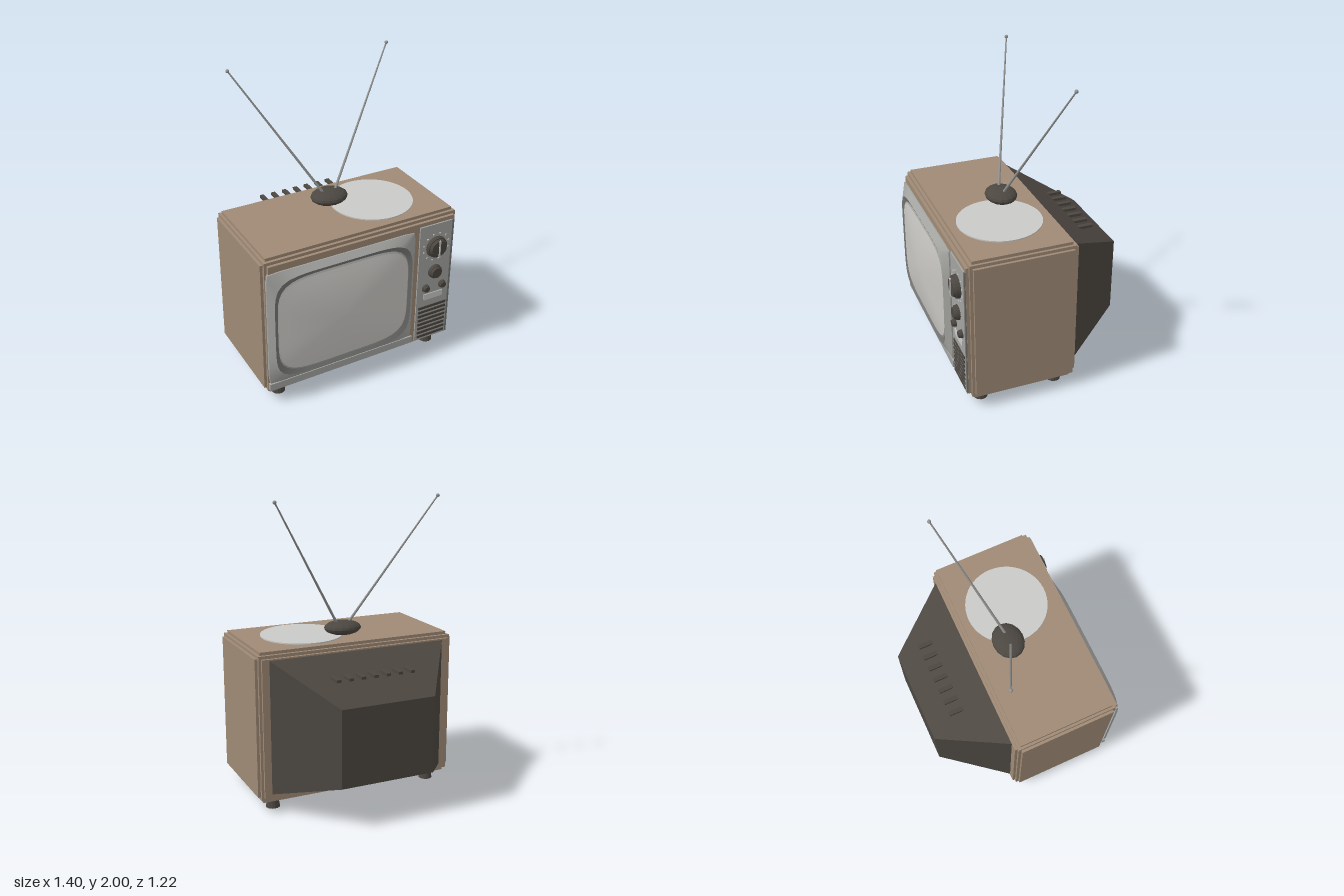
import * as THREE from 'three';
import { toCreasedNormals } from 'three/addons/utils/BufferGeometryUtils.js';

const mat = (name, color, flatShading = false) => {
  const m = new THREE.MeshStandardMaterial({ color });
  m.name = name;
  m.flatShading = flatShading;
  return m;
};

export function createModel() {
  const wood = mat('wood', 0x9f8a75);
  const dark = mat('dark plastic', 0x4c4741, true);
  const silver = mat('silver trim', 0xa3a3a0);
  const grey = mat('grey surround', 0x767674);
  const glassMat = mat('screen glass', 0xc8c6c2);
  const pale = mat('pale plate', 0xcacac8);
  const metal = mat('antenna metal', 0x949492);

  const root = new THREE.Group();
  const add = (name, geo, material, x = 0, y = 0, z = 0, parent = root) => {
    const m = new THREE.Mesh(geo, material);
    m.name = name;
    m.position.set(x, y, z);
    parent.add(m);
    return m;
  };
  // Box given by its low and high corners
  const block = (name, material, x0, x1, y0, y1, z0, z1, parent = root) =>
    add(name, new THREE.BoxGeometry(x1 - x0, y1 - y0, z1 - z0), material,
      (x0 + x1) / 2, (y0 + y1) / 2, (z0 + z1) / 2, parent);

  // Wooden cabinet: crossed boxes give the stepped edges
  const cabinet = new THREE.Group();
  cabinet.name = 'cabinet';
  root.add(cabinet);
  block('cabinetSides', wood, -0.70, 0.70, 0.11, 1.03, -0.15, 0.50, cabinet);
  block('cabinetTopBottom', wood, -0.665, 0.665, 0.066, 1.07, -0.15, 0.50, cabinet);
  block('cabinetFrontBack', wood, -0.665, 0.665, 0.11, 1.03, -0.188, 0.54, cabinet);
  block('cabinetEdgeStep', wood, -0.682, 0.682, 0.09, 1.05, -0.17, 0.52, cabinet);

  // Tapered back housing
  const back = new THREE.BoxGeometry(2, 1, 0.435);
  const bp = back.attributes.position;
  for (let i = 0; i < bp.count; i++) {
    const rear = bp.getZ(i) < 0, up = bp.getY(i) > 0;
    bp.setX(i, Math.sign(bp.getX(i)) * (rear ? 0.32 : 0.622));
    bp.setY(i, rear ? (up ? 0.79 : 0.28) : (up ? 1.025 : 0.13));
    bp.setZ(i, rear ? -0.613 : -0.18);
  }
  back.computeVertexNormals();
  add('backHousing', back, dark);
  for (let i = 0; i < 7; i++)
    add('ventFin', new THREE.BoxGeometry(0.03, 0.018, 0.097), dark, -0.241 + i * 0.0855, 0.921, -0.417);

  // Feet
  for (const x of [-0.575, 0.575])
    for (const z of [-0.078, 0.433])
      add('foot', new THREE.CylinderGeometry(0.036, 0.047, 0.07, 14), dark, x, 0.035, z);

  // Loft through rounded-square rings: [half width, half height, z, squareness]
  const loft = (rings, crease) => {
    const N = 72, pos = [], idx = [];
    rings.forEach(([w, h, z, n], r) => {
      for (let j = 0; j < N; j++) {
        const a = (j / N) * Math.PI * 2, c = Math.cos(a), s = Math.sin(a);
        const k = Math.pow(Math.abs(c) ** n + Math.abs(s) ** n, -1 / n);
        pos.push(w * k * c, h * k * s, z);
        if (r === 0) continue;
        const q = (j + 1) % N, A = (r - 1) * N, B = r * N;
        idx.push(A + j, A + q, B + q, A + j, B + q, B + j);
      }
    });
    const g = new THREE.BufferGeometry();
    g.setAttribute('position', new THREE.Float32BufferAttribute(pos, 3));
    g.setIndex(idx);
    g.computeVertexNormals();
    return crease ? toCreasedNormals(g, crease) : g;
  };

  // Screen: sloped frame, recessed ring, lip and bulging glass
  const sx = -0.158, sy = 0.575;
  add('screenFrame', loft([
    [0.525, 0.41, 0.53, 45], [0.525, 0.41, 0.548, 45], [0.49, 0.374, 0.582, 6]], 0.5), silver, sx, sy);
  add('screenRing', loft([
    [0.49, 0.374, 0.582, 6], [0.468, 0.35, 0.572, 5]], 0.5), grey, sx, sy);
  add('screenLip', loft([
    [0.468, 0.35, 0.572, 5], [0.462, 0.338, 0.577, 5]], 0.5), silver, sx, sy);
  const glassRings = [1, 0.85, 0.7, 0.5, 0.3, 0.1, 0.001].map(t =>
    [0.462 * t, 0.338 * t, 0.577 + 0.035 * (1 - t * t), 2 + 3 * t]);
  add('screenGlass', loft(glassRings), glassMat, sx, sy);
  block('lowerTrim', silver, -0.682, 0.38, 0.112, 0.163, 0.53, 0.552);

  // Control panel
  block('controlPanel', silver, 0.402, 0.648, 0.112, 1.003, 0.53, 0.55);
  block('panelEdge', grey, 0.648, 0.663, 0.112, 1.003, 0.53, 0.549);
  const knob = (name, x, y, r, depth) => {
    const g = new THREE.Group();
    g.name = name;
    g.position.set(x, y, 0.548);
    root.add(g);
    const base = add('knobBase', new THREE.CylinderGeometry(r * 0.92, r, depth * 0.6, 24), dark, 0, 0, depth * 0.3, g);
    const cap = add('knobCap', new THREE.CylinderGeometry(r * 0.72, r * 0.85, depth * 0.4, 24), dark, 0, 0, depth * 0.8, g);
    base.rotation.x = cap.rotation.x = Math.PI / 2;
    return g;
  };
  const dial = knob('channelDial', 0.53, 0.835, 0.077, 0.044);
  add('dialPointer', new THREE.BoxGeometry(0.01, 0.125, 0.008), pale, 0, 0, 0.046, dial);
  for (let i = 0; i < 12; i++) {
    const a = (i / 12 + 1 / 24) * Math.PI * 2;
    add('dialMark', new THREE.BoxGeometry(0.009, 0.009, 0.006), pale,
      Math.cos(a) * 0.098, Math.sin(a) * 0.098, 0.004, dial);
  }
  knob('tuningKnob', 0.53, 0.645, 0.05, 0.038);
  knob('smallKnobRight', 0.467, 0.527, 0.028, 0.028);
  knob('smallKnobLeft', 0.595, 0.527, 0.028, 0.028);
  block('labelPlate', pale, 0.457, 0.603, 0.432, 0.477, 0.549, 0.555);
  for (let i = 0; i < 8; i++)
    block('speakerSlot', dark, 0.42, 0.637, 0.362 - i * 0.0333, 0.38 - i * 0.0333, 0.549, 0.555);

  // Round mat on the top
  add('topMat', new THREE.CylinderGeometry(0.275, 0.275, 0.008, 48), pale, 0.255, 1.074, 0.175);

  // Antenna base and rods
  const dome = new THREE.SphereGeometry(1, 16, 10);
  dome.scale(0.127, 0.048, 0.105);
  add('antennaBase', dome, dark, 0, 1.117, 0.07);
  for (const s of [-1, 1]) {
    const a = new THREE.Vector3(s * 0.04, 1.145, 0.07), b = new THREE.Vector3(s * 0.56, 1.988, -0.183);
    const d = b.clone().sub(a), mid = a.clone().add(b).multiplyScalar(0.5);
    const rod = add('antennaRod', new THREE.CylinderGeometry(0.005, 0.009, d.length(), 10), metal, mid.x, mid.y, mid.z);
    rod.quaternion.setFromUnitVectors(new THREE.Vector3(0, 1, 0), d.normalize());
    add('antennaTip', new THREE.SphereGeometry(0.012, 12, 8), metal, b.x, b.y, b.z);
  }
  return root;
}
